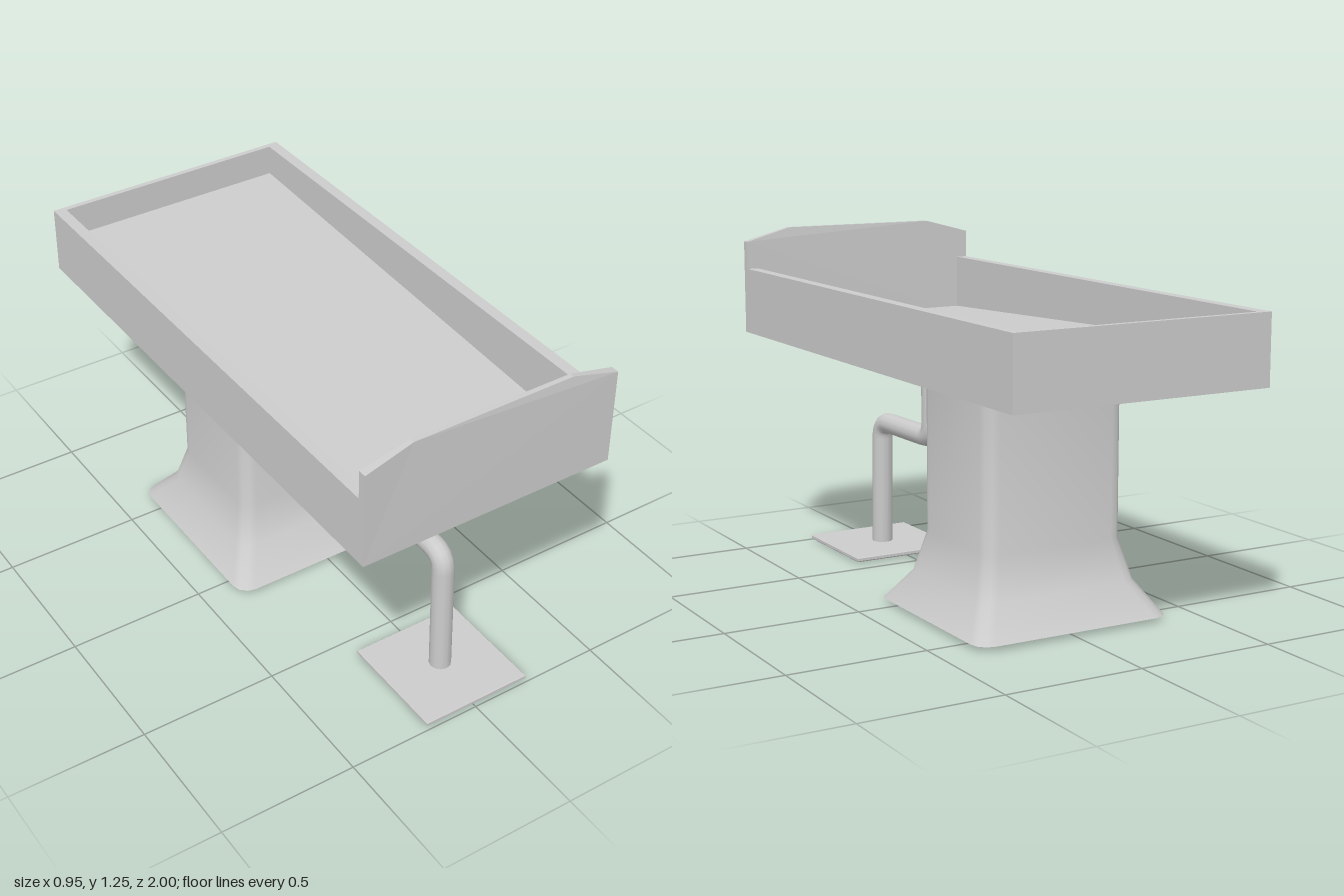
import * as THREE from 'three';
import { toCreasedNormals } from 'three/addons/utils/BufferGeometryUtils.js';

const grey = new THREE.MeshStandardMaterial({ color: 0xcccccc });
const greyDouble = new THREE.MeshStandardMaterial({ color: 0xcccccc, side: THREE.DoubleSide });

function part(name, geometry, material = grey) {
  const mesh = new THREE.Mesh(geometry, material);
  mesh.name = name;
  return mesh;
}

// Box given by its minimum and maximum corners
function boxBetween([x0, y0, z0], [x1, y1, z1]) {
  return new THREE.BoxGeometry(x1 - x0, y1 - y0, z1 - z0)
    .translate((x0 + x1) / 2, (y0 + y1) / 2, (z0 + z1) / 2);
}

// Move every vertex by a rule
function reshape(geometry, rule) {
  const p = geometry.attributes.position;
  const v = new THREE.Vector3();
  for (let i = 0; i < p.count; i++) {
    rule(v.fromBufferAttribute(p, i));
    p.setXYZ(i, v.x, v.y, v.z);
  }
  geometry.computeVertexNormals();
  return geometry;
}

const BOTTOM = 0.855, RIM = 1.1;
const OUT_X = 0.477, IN_X = 0.435;
const BACK_IN = -0.98, FRONT_IN = 0.97;

// Tray: three walls and a floor that slopes down towards the front
function createTray() {
  const tray = new THREE.Group();
  tray.name = 'tray';
  tray.add(part('leftWall', boxBetween([IN_X, BOTTOM, -1], [OUT_X, RIM, FRONT_IN])));
  tray.add(part('rightWall', boxBetween([-OUT_X, BOTTOM, -1], [-IN_X, RIM, FRONT_IN])));
  tray.add(part('backWall', boxBetween([-IN_X, BOTTOM, -1], [IN_X, RIM, BACK_IN])));
  const floor = reshape(boxBetween([-IN_X, BOTTOM, BACK_IN], [IN_X, 0.99, FRONT_IN]), (v) => {
    if (v.y > 0.9) v.y = v.z > 0 ? 0.9 : 0.985;
  });
  tray.add(part('slopingFloor', floor));
  return tray;
}

// Raised front board with cut corners and a slightly thinner top
function createFrontBoard() {
  const shape = new THREE.Shape([
    [-OUT_X, BOTTOM], [OUT_X, BOTTOM], [OUT_X, 1.203],
    [0.3, 1.25], [-0.3, 1.25], [-OUT_X, 1.203],
  ].map(([x, y]) => new THREE.Vector2(x, y)));
  const board = new THREE.ExtrudeGeometry(shape, { depth: 1 - FRONT_IN, bevelEnabled: false });
  board.translate(0, 0, FRONT_IN);
  reshape(board, (v) => {
    if (v.y > 1.22) v.z += v.z > 0.985 ? -0.006 : 0.006;
  });
  return part('frontBoard', board);
}

// Hollow pedestal: rounded rectangles joined from the flared foot upwards
function createPedestal() {
  const levels = [ // y, half width, half depth, corner radius
    [0.015, 0.376, 0.364, 0.06],
    [0.13, 0.305, 0.268, 0.055],
    [0.275, 0.27, 0.225, 0.05],
    [BOTTOM, 0.27, 0.225, 0.05],
  ];
  const steps = 3, ring = 4 * (steps + 1);
  const positions = [], index = [];
  for (const [y, hx, hz, r] of levels) {
    for (let c = 0; c < 4; c++) {
      const sx = c === 0 || c === 3 ? 1 : -1, sz = c < 2 ? 1 : -1;
      for (let s = 0; s <= steps; s++) {
        const a = (c + s / steps) * Math.PI / 2;
        positions.push(sx * (hx - r) + r * Math.cos(a), y, sz * (hz - r) + r * Math.sin(a));
      }
    }
  }
  for (let l = 0; l < levels.length - 1; l++) {
    for (let i = 0; i < ring; i++) {
      const a = l * ring + i, b = l * ring + (i + 1) % ring;
      index.push(a, a + ring, b, b, a + ring, b + ring);
    }
  }
  const geometry = new THREE.BufferGeometry();
  geometry.setAttribute('position', new THREE.Float32BufferAttribute(positions, 3));
  geometry.setIndex(index);
  geometry.translate(-0.005, 0, -0.257);
  return part('pedestal', toCreasedNormals(geometry, 0.7), greyDouble);
}

// Bent pipe running from under the tray to the foot plate
function createPipe() {
  const X = 0.013;
  const p = (y, z) => new THREE.Vector3(X, y, z);
  const path = new THREE.CurvePath();
  path.add(new THREE.LineCurve3(p(BOTTOM, 0.36), p(0.565, 0.36)));
  path.add(new THREE.QuadraticBezierCurve3(p(0.565, 0.36), p(0.503, 0.36), p(0.503, 0.42)));
  path.add(new THREE.LineCurve3(p(0.503, 0.42), p(0.501, 0.7)));
  path.add(new THREE.QuadraticBezierCurve3(p(0.501, 0.7), p(0.5, 0.764), p(0.44, 0.766)));
  path.add(new THREE.LineCurve3(p(0.44, 0.766), p(0, 0.777)));
  return part('pipe', new THREE.TubeGeometry(path, 64, 0.039, 12), greyDouble);
}

// Thin square foot plate with softened edges
function createFootPlate() {
  const half = 0.204, bevel = 0.004;
  const shape = new THREE.Shape([[-1, -1], [1, -1], [1, 1], [-1, 1]]
    .map(([x, y]) => new THREE.Vector2(x * half, y * half)));
  const geometry = new THREE.ExtrudeGeometry(shape, {
    depth: 0.01, bevelThickness: bevel, bevelSize: bevel, bevelSegments: 1,
  });
  geometry.rotateX(-Math.PI / 2).translate(0.013, 0.003 + bevel, 0.782);
  return part('footPlate', geometry);
}

export function createModel() {
  const model = new THREE.Group();
  model.name = 'trayOnPedestal';
  model.add(createTray(), createFrontBoard(), createPedestal(), createPipe(), createFootPlate());
  return model;
}
